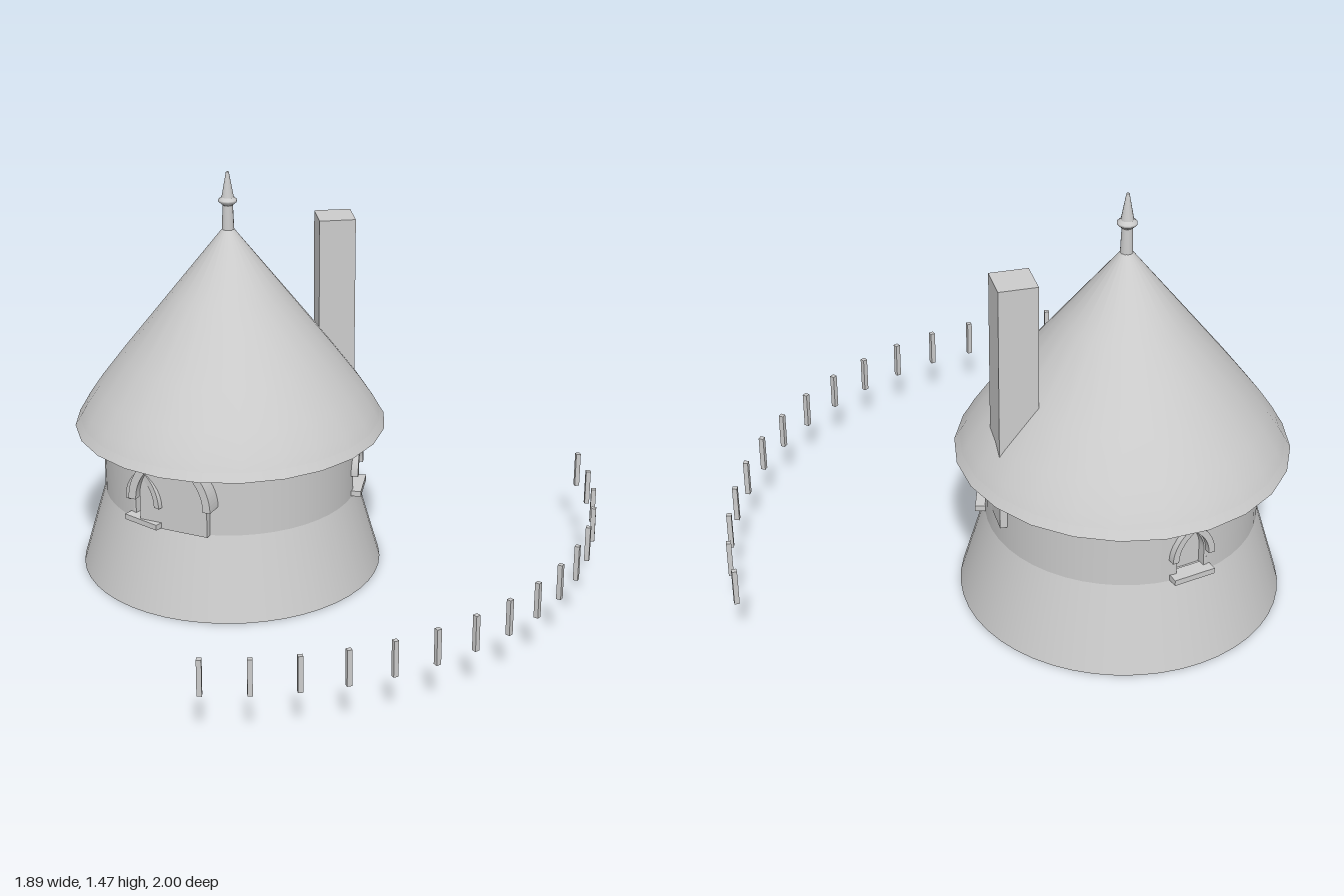
import * as THREE from 'three';

const grey = new THREE.MeshStandardMaterial({ color: 0xcccccc });
const thin = new THREE.MeshStandardMaterial({ color: 0xcccccc, side: THREE.DoubleSide });

function part(parent, name, geometry, x = 0, y = 0, z = 0, material = grey) {
  const mesh = new THREE.Mesh(geometry, material);
  mesh.name = name;
  mesh.position.set(x, y, z);
  parent.add(mesh);
  return mesh;
}

function lathe(points, sides) {
  return new THREE.LatheGeometry(points.map(([r, y]) => new THREE.Vector2(r, y)), sides);
}

function extrude(shape, depth) {
  return new THREE.ExtrudeGeometry(shape, { depth, bevelEnabled: false, curveSegments: 10 });
}

// Pointed arch outline with a straight-sided foot
function archOpening(half, radius, bottom, spring, Kind = THREE.Shape) {
  const a = Math.acos((radius - half) / radius);
  const s = new Kind();
  s.moveTo(-half, bottom);
  s.lineTo(half, bottom);
  s.absarc(half - radius, spring, radius, 0, a, false);
  s.absarc(radius - half, spring, radius, Math.PI - a, Math.PI, false);
  s.closePath();
  return s;
}

// Pointed arch band, from the spring line up
function archBand(half, radius, width, spring) {
  const c = radius - half, r = radius - width;
  const a = Math.acos(c / radius), b = Math.acos(c / r);
  const s = new THREE.Shape();
  s.moveTo(half, spring);
  s.absarc(-c, spring, radius, 0, a, false);
  s.absarc(c, spring, radius, Math.PI - a, Math.PI, false);
  s.absarc(c, spring, r, Math.PI, Math.PI - b, true);
  s.absarc(-c, spring, r, b, 0, true);
  s.closePath();
  return s;
}

function makeWindow() {
  const g = new THREE.Group();
  g.name = 'window';
  // Flat wall piece with the opening cut through
  const half = 0.46 * Math.sin(Math.PI / 24);
  const wall = new THREE.Shape();
  wall.moveTo(-half, 0.3);
  wall.lineTo(half, 0.3);
  wall.lineTo(half, 0.66);
  wall.lineTo(-half, 0.66);
  wall.closePath();
  wall.holes.push(archOpening(0.05, 0.111, 0.32, 0.385, THREE.Path));
  part(g, 'windowWall', extrude(wall, 0.04), 0, 0, 0.416);
  part(g, 'windowPane', new THREE.PlaneGeometry(0.11, 0.2), 0, 0.4, 0.425, thin);
  part(g, 'windowArch', extrude(archBand(0.078, 0.139, 0.022, 0.382), 0.04), 0, 0, 0.438);
  part(g, 'windowSill', new THREE.BoxGeometry(0.148, 0.02, 0.055), 0, 0.313, 0.461);
  return g;
}

export function createModel() {
  const model = new THREE.Group();
  model.name = 'roundHut';
  const hut = new THREE.Group();
  hut.name = 'hut';
  hut.position.set(-0.383, 0, -0.245);
  model.add(hut);

  // Sloping plinth
  part(hut, 'plinth', new THREE.CylinderGeometry(0.46, 0.547, 0.3, 48), 0, 0.15, 0);

  // Three curved walls with a window between each pair
  const step = Math.PI / 12;
  for (let i = 0; i < 3; i++) {
    const angle = -step + i * 8 * step;
    const win = makeWindow();
    win.rotation.y = angle;
    hut.add(win);
    part(hut, 'wall', new THREE.CylinderGeometry(0.46, 0.46, 0.36, 14, 1, true,
      angle + step / 2, 7 * step), 0, 0.48, 0, thin);
  }

  // Door
  part(hut, 'doorPanel', extrude(archOpening(0.13, 0.175, 0.3, 0.41), 0.045), 0, 0, 0.42);
  part(hut, 'doorArch', extrude(archBand(0.158, 0.2, 0.028, 0.41), 0.073), 0, 0, 0.422);

  // Conical roof: cover, sloping rim and underside
  part(hut, 'roofCover', lathe([[0.542, 0.575], [0.52, 0.615], [0.47, 0.69], [0.38, 0.81],
    [0.2, 1.04], [0.018, 1.272]], 24), 0, 0, 0, thin);
  part(hut, 'roofRim', lathe([[0.56, 0.545], [0.542, 0.575]], 24), 0, 0, 0, thin);
  part(hut, 'roofUnderside', lathe([[0.44, 0.66], [0.49, 0.605], [0.525, 0.545], [0.56, 0.545]], 24),
    0, 0, 0, thin);

  // Finial
  part(hut, 'finialPost', new THREE.CylinderGeometry(0.018, 0.022, 0.1, 12), 0, 1.31, 0);
  part(hut, 'finialCollar', lathe([[0, 1.355], [0.018, 1.355], [0.033, 1.368], [0.033, 1.375],
    [0.02, 1.385]], 12));
  part(hut, 'finialSpire', new THREE.CylinderGeometry(0.005, 0.022, 0.093, 12), 0, 1.428, 0);

  // Chimney, set into the back of the roof and wall
  const chimney = part(hut, 'chimney', new THREE.BoxGeometry(0.13, 0.885, 0.127), 0.283, 0.828, -0.288);
  chimney.rotation.y = 0.56;

  // Arc of posts around the hut
  for (let i = -5; i <= 10; i++) {
    const a = i * 0.1199;
    const post = part(hut, 'post', new THREE.BoxGeometry(0.017, 0.13, 0.017),
      1.322 * Math.cos(a), 0.235, 1.322 * Math.sin(a));
    post.rotation.y = -a;
  }
  return model;
}
